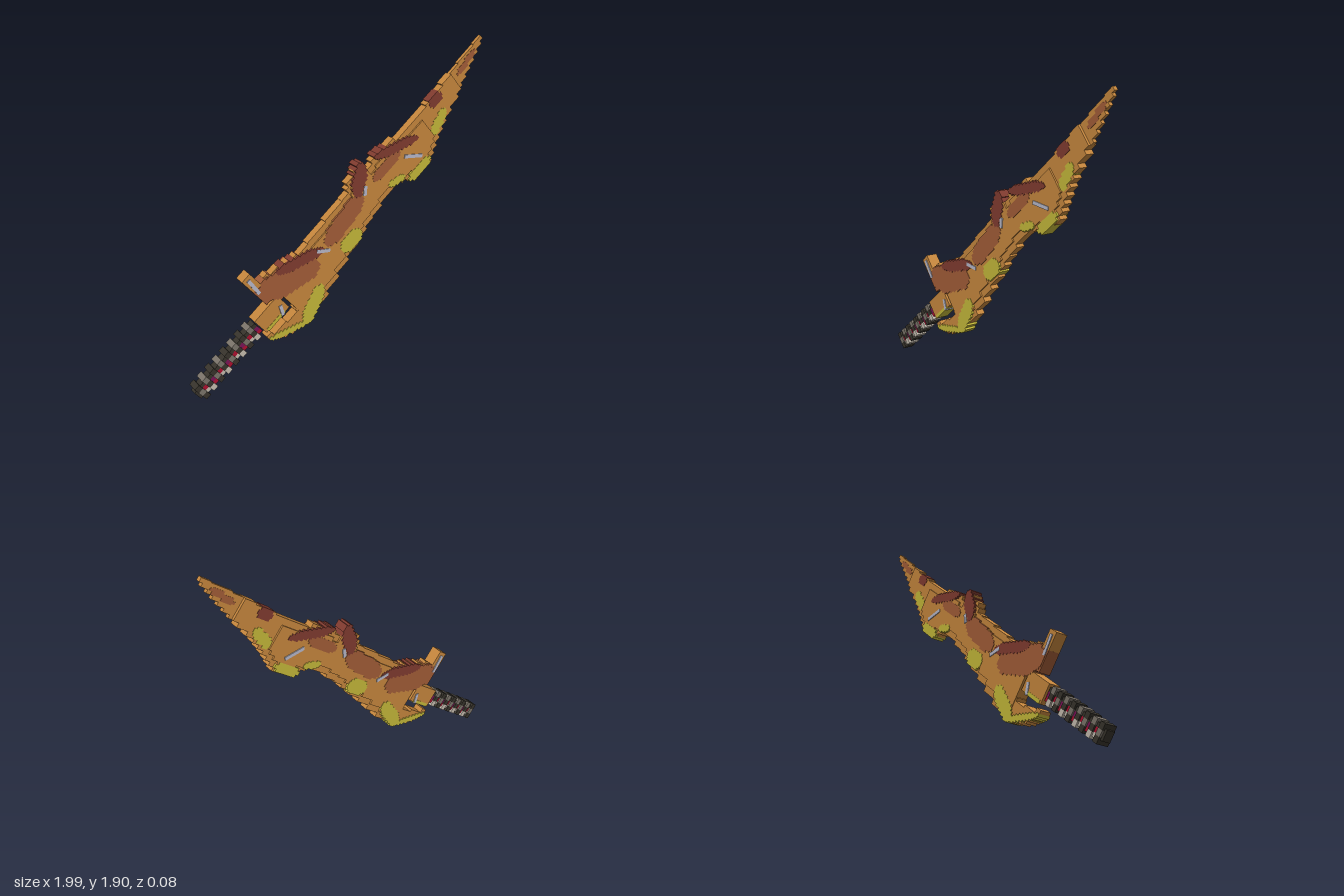
import * as THREE from 'three';

const TILT = 0.7; // the sword is built lying along u (x), with v (y) across, then tilted

const mat = (name, color) => Object.assign(new THREE.MeshStandardMaterial({ color }), { name });

// Turns each slanted edge of a coarse outline into stair steps.
function stepped(points, step) {
  const out = [];
  points.forEach(([u, v], i) => {
    const [u2, v2] = points[(i + 1) % points.length];
    const du = u2 - u, dv = v2 - v;
    const n = Math.max(1, Math.round(Math.min(Math.abs(du), Math.abs(dv)) / step));
    for (let k = 0; k < n; k++) {
      const mid = u + du * (k + 0.5) / n;
      out.push(new THREE.Vector2(mid, v + dv * k / n), new THREE.Vector2(mid, v + dv * (k + 1) / n));
    }
  });
  return out;
}

// Slab with a stepped outline, centred on z = 0.
function slab(name, points, half, material, step = 0.022) {
  const shape = new THREE.Shape(stepped(points, step));
  const geo = new THREE.ExtrudeGeometry(shape, { depth: 2 * half, bevelEnabled: false });
  geo.translate(0, 0, -half);
  const mesh = new THREE.Mesh(geo, material);
  mesh.name = name;
  return mesh;
}

// Outline from cross-sections [u, low v, high v], optionally narrowed by an inset.
const outline = (sections, inset = 0) => [
  ...sections.map(([u, lo]) => [u, lo + inset]),
  ...sections.map(([u, , hi]) => [u, hi - inset]).reverse(),
];

// Slanted blob used for the painted patches.
function blob(u, v, length, width, slope) {
  const sections = [-0.5, -0.3, 0.3, 0.5].map((t) => {
    const h = width * (Math.abs(t) < 0.4 ? 0.5 : 0.2);
    const mid = v + slope * t * length;
    return [u + t * length, mid - h, mid + h];
  });
  return outline(sections);
}

function box(name, sizeU, sizeV, sizeZ, u, v, material) {
  const mesh = new THREE.Mesh(new THREE.BoxGeometry(sizeU, sizeV, sizeZ), material);
  mesh.position.set(u, v, 0);
  mesh.name = name;
  return mesh;
}

export function createModel() {
  const orange = mat('orange', 0xc8883e);
  const yellow = mat('olive yellow', 0xc6ba3a);
  const brown = mat('brown', 0xa45e38);
  const maroon = mat('maroon', 0x823c30);
  const lavender = mat('pale lavender', 0xb9bacb);
  const dark = mat('charcoal', 0x38342c);
  const gray = mat('warm gray', 0x7c756b);
  const light = mat('light gray', 0xc6bdb0);
  const crimson = mat('crimson', 0xb01030);
  const purple = mat('purple', 0x7c1458);

  const sword = new THREE.Group();
  sword.name = 'sword';
  sword.rotation.z = TILT;

  // Blade: thick core, thinner rim, very thin tip
  const blade = [
    [0.03, 0.405, 0.86], [0.17, 0.41, 0.81], [0.29, 0.44, 0.777], [0.41, 0.47, 0.785],
    [0.62, 0.52, 0.795], [0.72, 0.54, 0.8], [0.77, 0.55, 0.855], [0.9, 0.57, 0.88],
    [0.91, 0.57, 0.81], [1.0, 0.57, 0.83], [1.07, 0.525, 0.82], [1.235, 0.49, 0.79],
    [1.36, 0.56, 0.79], [1.51, 0.626, 0.8], [1.68, 0.68, 0.81], [1.84, 0.74, 0.818],
    [1.985, 0.8, 0.824],
  ];
  sword.add(
    slab('bladeCore', outline(blade.slice(0, 13), 0.04), 0.037, orange),
    slab('bladeRim', outline(blade.slice(0, 15)), 0.027, orange),
    slab('bladeTip', outline(blade.slice(14)), 0.012, orange));

  // Hook curving back below the collar, guard stub and its prong
  const hook = [[-0.21, 0.53, 0.56], [-0.13, 0.45, 0.53], [0, 0.405, 0.515], [0.04, 0.405, 0.535]];
  sword.add(
    slab('hook', outline(hook), 0.034, orange),
    box('guard', 0.12, 0.13, 0.074, -0.01, 0.785, brown),
    box('guardProng', 0.065, 0.11, 0.074, -0.037, 0.9, orange),
    box('collar', 0.2, 0.12, 0.076, -0.09, 0.645, orange),
    box('collarEdge', 0.15, 0.022, 0.08, -0.1, 0.592, yellow));

  // Painted patches pass through the blade, just proud of its faces: u, v, length, width, slope
  const paint = (material, half, blobs) => blobs.forEach((b) =>
    sword.add(slab(material.name + ' patch', blob(...b), half, material, 0.014)));
  paint(brown, 0.039, [
    [0.13, 0.72, 0.38, 0.19, -0.35], [0.6, 0.7, 0.36, 0.12, 0.1], [1.01, 0.73, 0.24, 0.07, 0]]);
  paint(brown, 0.014, [[1.81, 0.775, 0.19, 0.04, 0.13]]);
  paint(maroon, 0.04, [
    [0.25, 0.745, 0.3, 0.075, -0.45], [0.83, 0.81, 0.17, 0.11, 0.6], [1.13, 0.765, 0.29, 0.065, -0.45]]);
  paint(maroon, 0.029, [[1.506, 0.772, 0.11, 0.065, 0]]);
  paint(yellow, 0.039, [
    [1.0, 0.597, 0.12, 0.05, -0.3], [1.16, 0.525, 0.2, 0.06, 0], [0.55, 0.56, 0.17, 0.1, 0],
    [0.12, 0.46, 0.24, 0.1, 0.35], [-0.09, 0.465, 0.24, 0.045, -0.55]]);
  paint(yellow, 0.029, [[1.438, 0.645, 0.17, 0.07, 0.3]]);

  // Pale scratches: u, v, length, angle
  [[-0.043, 0.873, 0.12, -1.66], [0.386, 0.668, 0.09, -0.81], [0.813, 0.728, 0.06, 0.79],
    [1.176, 0.628, 0.13, -0.81], [-0.035, 0.611, 0.07, -1.99]].forEach(([u, v, length, angle]) => {
    const scratch = box('scratch', length, 0.022, 0.084, u, v, lavender);
    scratch.rotation.z = angle;
    sword.add(scratch);
  });

  // Handle: raised rings over a narrow grip, with a small end cap
  const handle = new THREE.Group();
  handle.name = 'handle';
  handle.position.set(-0.684, 0.652, 0);
  const rings = 8, pitch = 0.063;
  for (let i = 0; i < rings; i++) {
    const u = i * pitch, gap = u + pitch / 2, odd = i % 2;
    handle.add(
      box('ringTop', 0.036, 0.037, 0.076, u, 0.036, odd ? gray : dark),
      box('ringMiddle', 0.036, 0.035, 0.076, u, 0, odd ? dark : gray),
      box('ringBottom', 0.036, 0.037, 0.076, u, -0.036, odd ? light : dark),
      box('gripTop', 0.03, 0.026, 0.056, gap, 0.026, dark),
      box('gripMiddle', 0.03, 0.03, 0.056, gap, 0, odd ? purple : crimson),
      box('gripBottom', 0.03, 0.026, 0.056, gap, -0.026, odd ? crimson : light));
  }
  handle.add(box('pommel', 0.02, 0.06, 0.05, -0.025, 0, dark));
  sword.add(handle);

  const model = new THREE.Group();
  model.name = 'tiltedSword';
  model.add(sword);
  return model;
}
